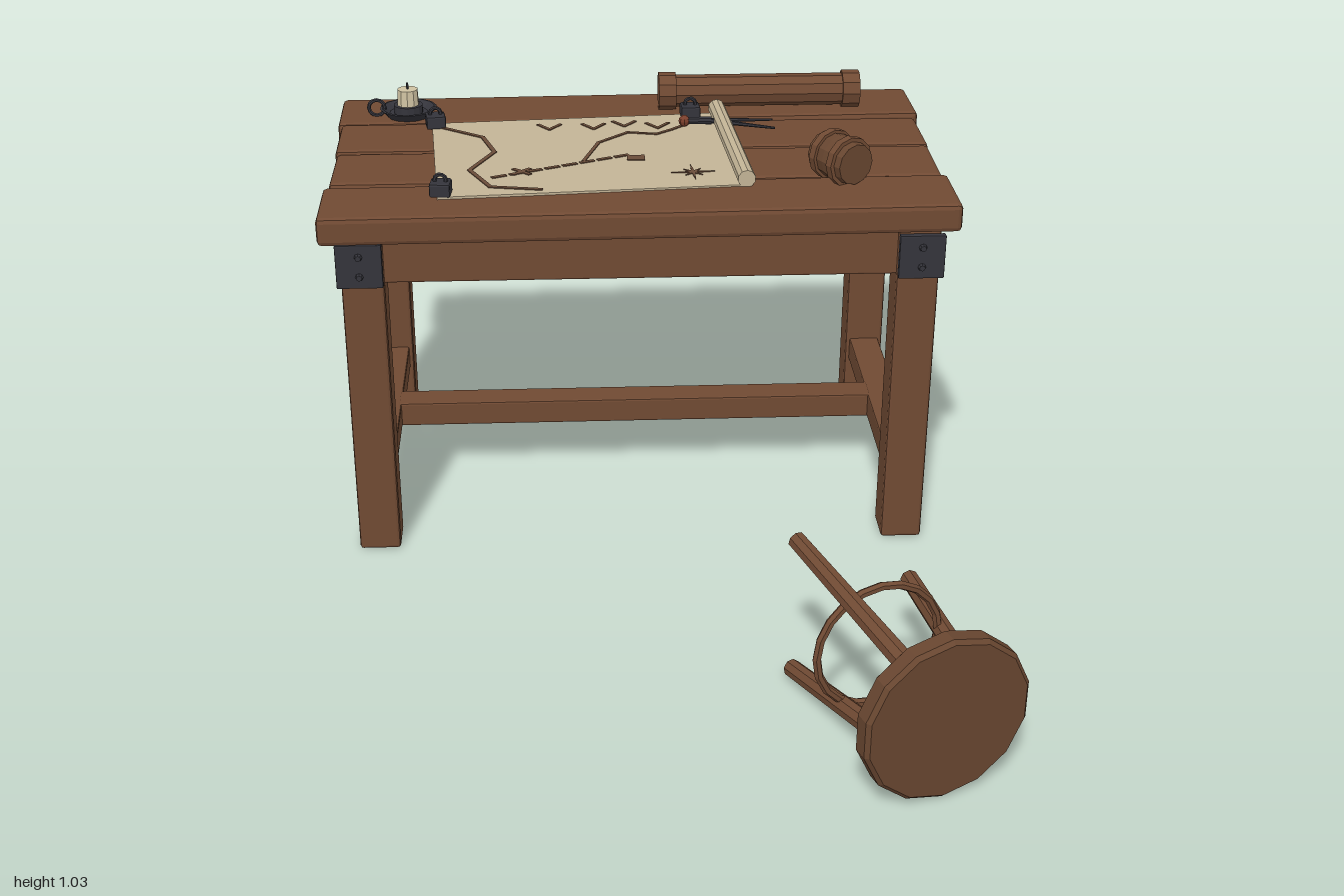
import * as THREE from 'three';
import { RoundedBoxGeometry } from 'three/addons/geometries/RoundedBoxGeometry.js';

const mat = (name, color) => Object.assign(new THREE.MeshStandardMaterial({ color }), { name });

export function createModel() {
  const wood = mat('wood', 0x704a33);
  const seatWood = mat('seatWood', 0x684630);
  const iron = mat('iron', 0x34343b);
  const parchment = mat('parchment', 0xc3b496);
  const ink = mat('ink', 0x6a4c39);
  const wax = mat('wax', 0xcfc2a2);
  const copper = mat('copper', 0x7a3f2c);

  const model = new THREE.Group();
  model.name = 'tableWithMapAndStool';

  // Faceted mesh helper
  const add = (parent, name, geo, material, x = 0, y = 0, z = 0) => {
    const g = geo.index ? geo.toNonIndexed() : geo;
    g.computeVertexNormals();
    const m = new THREE.Mesh(g, material);
    m.name = name;
    m.position.set(x, y, z);
    parent.add(m);
    return m;
  };
  const group = (name, x = 0, y = 0, z = 0, parent = model) => {
    const g = new THREE.Group();
    g.name = name;
    g.position.set(x, y, z);
    parent.add(g);
    return g;
  };
  const beam = (w, h, d, r = 0.008) => new RoundedBoxGeometry(w, h, d, 1, r);
  const V = (x, y, z) => new THREE.Vector3(x, y, z);
  // Cylinder running between two points
  const rod = (parent, name, a, b, ra, rb, material, sides = 8) => {
    const m = add(parent, name, new THREE.CylinderGeometry(rb, ra, a.distanceTo(b), sides), material);
    m.position.copy(a).lerp(b, 0.5);
    m.quaternion.setFromUnitVectors(V(0, 1, 0), b.clone().sub(a).normalize());
    return m;
  };

  // Table: four uneven planks [length, width, thickness, x, y, z, turn, tilt]
  const table = group('table');
  [
    [1.53, 0.21, 0.07, -0.003, 0.871, -0.882, 0.016, 0.001],
    [1.505, 0.21, 0.07, -0.002, 0.871, -0.657, 0.009, -0.005],
    [1.495, 0.219, 0.062, -0.002, 0.875, -0.434, -0.004, 0.002],
    [1.515, 0.213, 0.07, -0.002, 0.875, -0.204, 0.006, 0.004],
  ].forEach(([l, w, h, x, y, z, turn, tilt]) => {
    const plank = add(table, 'plank', beam(l, h, w, 0.012), wood, x, y, z);
    plank.rotation.set(0, turn, tilt);
  });

  // Legs, side stretchers and corner brackets
  for (const s of [-1, 1]) {
    for (const z of [-0.174, -0.896]) {
      add(table, 'leg', beam(0.102, 0.845, 0.1), wood, s * 0.661, 0.4225, z);
    }
    add(table, 'sideStretcher', beam(0.08, 0.065, 0.64, 0.005), wood, s * 0.661, 0.187, -0.535);
    add(table, 'bracket', beam(0.11, 0.11, 0.018, 0.003), iron, s * 0.666, 0.78, -0.116);
    for (const y of [0.755, 0.805]) {
      const rivet = add(table, 'rivet', new THREE.CylinderGeometry(0.007, 0.01, 0.01, 8), iron, s * 0.666, y, -0.103);
      rivet.rotation.x = Math.PI / 2;
    }
  }
  add(table, 'longStretcher', beam(1.26, 0.065, 0.08, 0.005), wood, 0, 0.187, -0.535);
  for (const z of [-0.155, -0.915]) {
    add(table, 'apron', beam(1.26, 0.115, 0.045, 0.005), wood, 0, 0.785, z);
  }

  // Toppled stool, local y points out through the seat top
  const stool = group('stool', 0.571, 0.195, 0.905);
  stool.rotation.set(Math.PI / 2, 0.349, 0, 'YXZ');
  const seatProfile = [[0, -0.026], [0.186, -0.026], [0.195, -0.017], [0.195, 0.017], [0.186, 0.026], [0, 0.026]];
  add(stool, 'seat', new THREE.LatheGeometry(seatProfile.map(([x, y]) => new THREE.Vector2(x, y)), 14), seatWood);
  for (let i = 0; i < 3; i++) {
    const a = (i * Math.PI * 2) / 3, c = Math.cos(a), s = Math.sin(a);
    rod(stool, 'stoolLeg', V(0.113 * c, -0.01, 0.113 * s), V(0.195 * c, -0.487, 0.195 * s), 0.025, 0.021, wood);
  }
  const ring = add(stool, 'footRing', new THREE.TorusGeometry(0.148, 0.01, 6, 20), wood, 0, -0.277, 0);
  ring.rotation.x = Math.PI / 2;

  // Map sheet with its rolled end
  const map = group('map');
  const sheet = add(map, 'sheet', new THREE.BoxGeometry(0.742, 0.006, 0.532), parchment, -0.13, 0.912, -0.495);
  sheet.rotation.y = 0.07;
  const rollA = V(0.226, 0.93, -0.787), rollB = V(0.258, 0.93, -0.253);
  rod(map, 'rolledEdge', rollA, rollB, 0.022, 0.022, parchment, 10);

  // Ink strokes, drawn as thin strips in x and z
  const stroke = ([ax, az], [bx, bz], w = 0.011) => {
    const dx = bx - ax, dz = bz - az;
    const m = add(map, 'inkStroke', new THREE.BoxGeometry(Math.hypot(dx, dz) + w * 0.6, 0.004, w), ink,
      (ax + bx) / 2, 0.9155, (az + bz) / 2);
    m.rotation.y = -Math.atan2(dz, dx);
  };
  const line = (pts, w) => pts.slice(1).forEach((p, i) => stroke(pts[i], p, w));
  line([[-0.5, -0.704], [-0.384, -0.619], [-0.352, -0.508], [-0.41, -0.381], [-0.357, -0.265], [-0.235, -0.243]]);
  line([[0.17, -0.725], [0.1, -0.656], [0.06, -0.624], [-0.013, -0.64], [-0.09, -0.566], [-0.13, -0.434]], 0.009);
  for (const [x, z] of [[-0.214, -0.688], [-0.1, -0.688], [-0.02, -0.705], [0.066, -0.688]]) {
    line([[x - 0.028, z - 0.02], [x, z + 0.018], [x + 0.028, z - 0.02]], 0.009);
  }
  // Dashed route, cross and landmark
  for (let i = 0; i < 8; i++) {
    const at = (t) => [-0.352 + 0.345 * t, -0.328 - 0.15 * t];
    stroke(at(i / 8), at((i + 0.68) / 8));
  }
  for (const s of [-1, 1]) stroke([-0.302, -0.365 - s * 0.018], [-0.264, -0.365 + s * 0.018]);
  stroke([-0.012, -0.45], [0.012, -0.45], 0.034);
  // Compass rose
  const star = new THREE.Shape();
  for (let i = 0; i < 16; i++) {
    const r = i % 2 ? 0.01 : i % 4 ? 0.03 : 0.054, a = (i * Math.PI) / 8 + 0.07;
    star[i ? 'lineTo' : 'moveTo'](r * Math.cos(a), r * Math.sin(a));
  }
  const rose = add(map, 'compassRose', new THREE.ExtrudeGeometry(star, { depth: 0.003, bevelEnabled: false }), ink, 0.135, 0.9145, -0.344);
  rose.rotation.x = -Math.PI / 2;

  // Map weights with ring handles
  for (const [x, z, turn] of [[-0.508, -0.714, 0.15], [0.155, -0.762, 0.05], [-0.473, -0.227, -0.08]]) {
    const weight = group('mapWeight', x, 0.913, z);
    weight.rotation.y = turn;
    add(weight, 'weightBlock', beam(0.05, 0.034, 0.05, 0.005), iron, 0, 0.017, 0);
    add(weight, 'weightHandle', new THREE.TorusGeometry(0.014, 0.005, 6, 10), iron, 0, 0.037, 0);
  }

  // Dividers
  const dividers = group('dividers');
  add(dividers, 'dividerKnob', new THREE.SphereGeometry(0.015, 8, 6), copper, 0.135, 0.93, -0.683);
  rod(dividers, 'dividerGrip', V(0.14, 0.93, -0.683), V(0.205, 0.93, -0.683), 0.009, 0.011, iron);
  for (const s of [-1, 1]) {
    rod(dividers, 'dividerLeg', V(0.2, 0.93, -0.683), V(0.367, 0.918, -0.683 + s * 0.033), 0.007, 0.003, iron, 6);
  }

  // Candle in a dish
  const candle = group('candlestick', -0.585, 0.906, -0.83);
  const dish = [[0, 0], [0.055, 0], [0.075, 0.022], [0.069, 0.023], [0.05, 0.009], [0.038, 0.009], [0.038, 0.03], [0, 0.03]];
  add(candle, 'dish', new THREE.LatheGeometry(dish.map(([x, y]) => new THREE.Vector2(x, y)), 14), iron);
  add(candle, 'dishHandle', new THREE.TorusGeometry(0.021, 0.005, 6, 12), iron, -0.083, 0.022, 0);
  add(candle, 'candle', new THREE.CylinderGeometry(0.027, 0.029, 0.05, 10), wax, 0, 0.047, 0);
  add(candle, 'wick', new THREE.CylinderGeometry(0.003, 0.003, 0.018, 5), iron, 0, 0.08, 0);

  // Scroll case with end caps
  const scrollCase = group('scrollCase', 0.344, 0.953, -0.86);
  scrollCase.rotation.z = Math.PI / 2;
  add(scrollCase, 'caseTube', new THREE.CylinderGeometry(0.042, 0.042, 0.48, 10), wood);
  for (const s of [-1, 1]) {
    add(scrollCase, 'caseCap', new THREE.CylinderGeometry(0.049, 0.049, 0.046, 10), wood, 0, s * 0.244, 0);
  }

  // Small banded keg lying on its side
  const keg = group('keg', 0.487, 0.964, -0.3);
  keg.rotation.set(Math.PI / 2, 0.53, 0, 'YXZ');
  const barrel = [[0, -0.062], [0.05, -0.062], [0.054, -0.03], [0.056, 0], [0.054, 0.03], [0.05, 0.062], [0, 0.062]];
  add(keg, 'kegBody', new THREE.LatheGeometry(barrel.map(([x, y]) => new THREE.Vector2(x, y)), 12), seatWood);
  for (const s of [-1, 1]) {
    add(keg, 'kegBand', new THREE.CylinderGeometry(0.062, 0.062, 0.02, 12), wood, 0, s * 0.033, 0);
  }
  return model;
}
